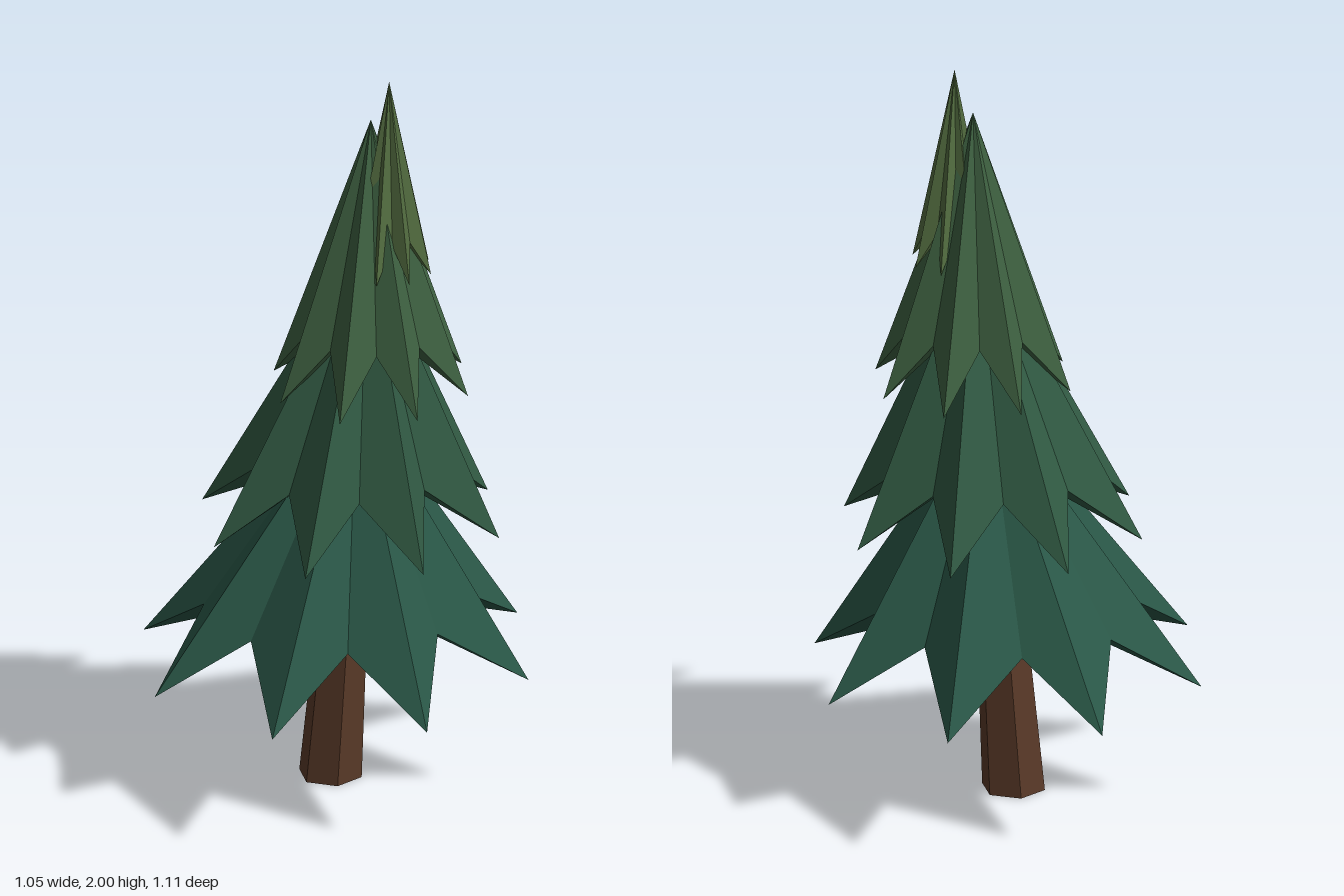
import * as THREE from 'three';

const POINTS = 8;

// One tier of foliage: an eight-pointed star skirt under a leaning apex.
// c: rim centre x, rx/rz: tip radii, y: tip height, vr/vy: valley radius and height,
// apex: [x, y], hub: height of the underside centre
function starTier({ name, color, c, rx, rz, y, vr, vy, apex, hub }) {
  const rim = [];
  for (let i = 0; i < POINTS * 2; i++) {
    const a = (i / (POINTS * 2)) * Math.PI * 2;
    const tip = i % 2 === 0;
    rim.push([
      c + Math.cos(a) * (tip ? rx : vr),
      tip ? y : vy,
      Math.sin(a) * (tip ? rz : vr),
    ]);
  }
  const top = [apex[0], apex[1], 0];
  const under = [c, hub, 0];
  const pos = [];
  rim.forEach((p, i) => {
    const q = rim[(i + 1) % rim.length];
    pos.push(...top, ...q, ...p); // upper slope
    pos.push(...under, ...p, ...q); // underside
  });
  const geo = new THREE.BufferGeometry();
  geo.setAttribute('position', new THREE.Float32BufferAttribute(pos, 3));
  geo.computeVertexNormals();
  const mesh = new THREE.Mesh(geo, new THREE.MeshStandardMaterial({ color, flatShading: true }));
  mesh.name = name;
  return mesh;
}

// Hexagonal tapered trunk, sheared so that it leans toward +x
function makeTrunk() {
  const h = 0.56;
  const geo = new THREE.CylinderGeometry(0.065, 0.085, h, 6);
  geo.rotateY(Math.PI / 2);
  geo.translate(0, h / 2, 0);
  const p = geo.attributes.position;
  for (let i = 0; i < p.count; i++) p.setX(i, p.getX(i) - 0.01 + p.getY(i) * 0.07);
  geo.computeVertexNormals();
  const mesh = new THREE.Mesh(
    geo,
    new THREE.MeshStandardMaterial({ color: 0x5a3a28, flatShading: true })
  );
  mesh.name = 'trunk';
  return mesh;
}

export function createModel() {
  const tree = new THREE.Group();
  tree.name = 'pineTree';
  tree.add(makeTrunk());

  // Foliage, from the widest tier up to the crown
  const tiers = [
    { name: 'bottomTier', color: 0x2a5747, c: 0.005, rx: 0.525, rz: 0.555, y: 0.34, vr: 0.345, vy: 0.5, apex: [0.06, 1.1], hub: 0.53 },
    { name: 'lowerMiddleTier', color: 0x315a43, c: 0.045, rx: 0.405, rz: 0.395, y: 0.735, vr: 0.25, vy: 0.89, apex: [0.09, 1.55], hub: 0.92 },
    { name: 'upperMiddleTier', color: 0x3e6141, c: 0.1, rx: 0.265, rz: 0.27, y: 1.13, vr: 0.165, vy: 1.28, apex: [0.1, 1.885], hub: 1.31 },
    { name: 'crownTier', color: 0x536d40, c: 0.152, rx: 0.112, rz: 0.118, y: 1.465, vr: 0.068, vy: 1.56, apex: [0.15, 2.0], hub: 1.58 },
  ];
  for (const t of tiers) tree.add(starTier(t));
  return tree;
}
